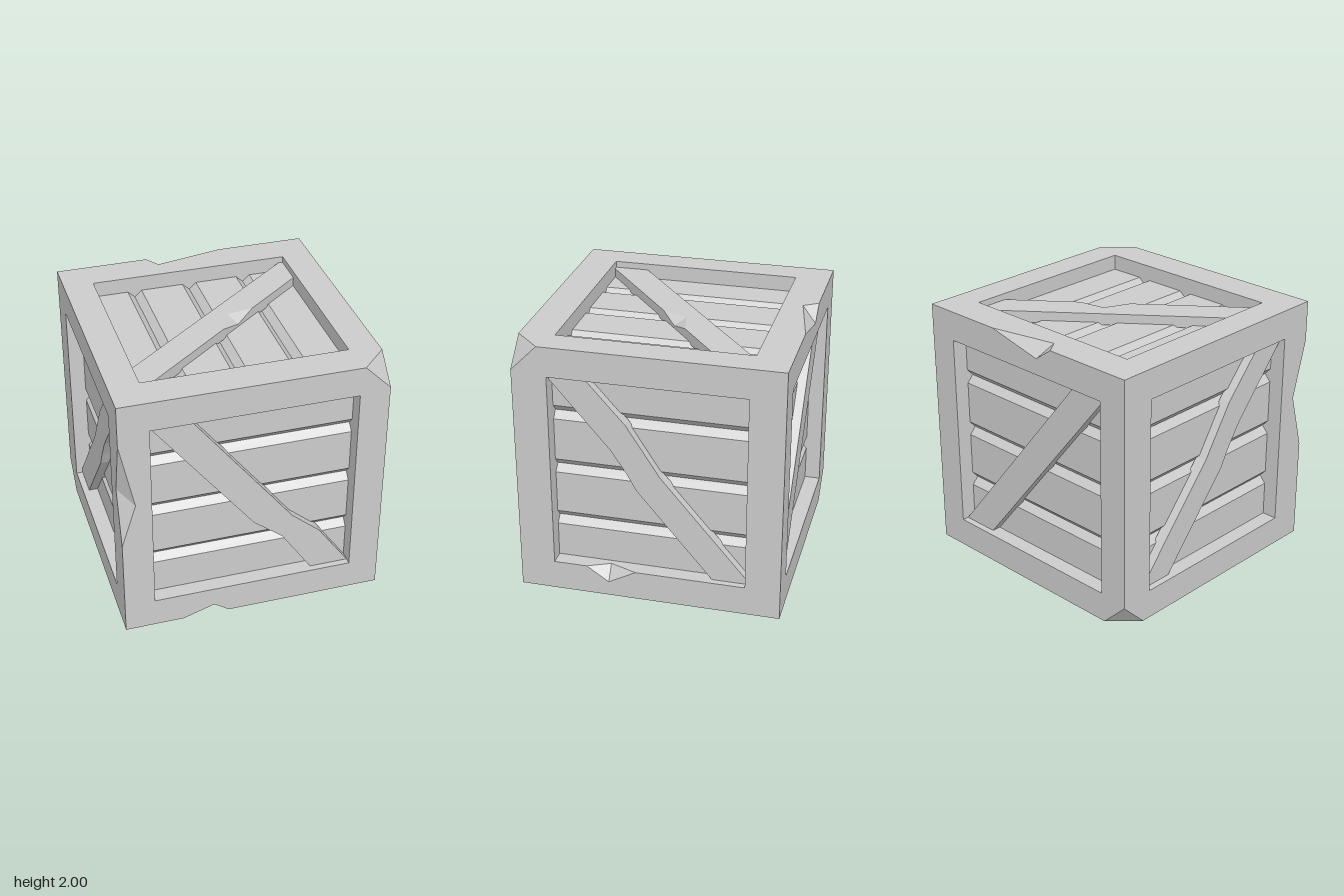
import * as THREE from 'three';

const material = new THREE.MeshStandardMaterial({ color: 0xcccccc, flatShading: true, side: THREE.DoubleSide });

// Mesh from a list of triangles, each three [x, y, z] corners
function triMesh(name, tris) {
  const geometry = new THREE.BufferGeometry();
  geometry.setAttribute('position', new THREE.Float32BufferAttribute(tris.flat(2), 3));
  geometry.computeVertexNormals();
  const mesh = new THREE.Mesh(geometry, material);
  mesh.name = name;
  return mesh;
}

const toV2 = (pts) => pts.map((p) => new THREE.Vector2(p[0], p[1]));
const ccw = (pts) => (THREE.ShapeUtils.area(toV2(pts)) < 0 ? [...pts].reverse() : pts);
const mirror = (pts) => pts.map(([u, ...rest]) => [-u, ...rest]);
const rect = (hu, hv) => [[-hu, -hv], [hu, -hv], [hu, hv], [-hu, hv]];

// Flat cap at height n
function cap(outline, holes, n) {
  const all = [outline, ...holes].flat();
  return THREE.ShapeUtils.triangulateShape(toV2(outline), holes.map(toV2))
    .map((t) => t.map((i) => [all[i][0], all[i][1], n]));
}

// Walls from height n0 down to n1 along a loop; a point with a third entry
// is the tip of a chip whose lower corner is that entry
function walls(loop, n0, n1) {
  const tris = [];
  const top = (p) => [p[0], p[1], n0];
  const low = (p) => p[2] || [p[0], p[1], n1];
  loop.forEach((p, i) => {
    const q = loop[(i + 1) % loop.length];
    const [a, b, c, d] = [top(p), low(p), low(q), top(q)];
    if (p[2]) {
      const before = low(loop[(i + loop.length - 1) % loop.length]);
      tris.push([a, b, d], [b, c, d], [before, c, b]);
    } else tris.push([a, b, c], [a, c, d]);
  });
  return tris;
}

// Boards with V grooves, running along v on the top and bottom
function boards(hu, hv, alongV) {
  const half = alongV ? hu : hv, len = alongV ? hv : hu;
  const profile = [[-half, 0.88]];
  for (const c of [-0.445, -0.004, 0.437]) {
    profile.push([c - 0.055, 0.88], [c, 0.83], [c + 0.055, 0.88]);
  }
  profile.push([half, 0.88]);
  const at = (l, [s, n]) => (alongV ? [s, -l, n] : [l, s, n]);
  const tris = [];
  for (let i = 0; i + 1 < profile.length; i++) {
    const a = at(-len, profile[i]), b = at(len, profile[i]);
    const c = at(len, profile[i + 1]), d = at(-len, profile[i + 1]);
    tris.push([a, b, c], [a, c, d]);
  }
  return triMesh('boards', tris);
}

// Brace outlines, in face coordinates (u, v)
const frontBrace = [[-0.77, 0.77], [-0.47, 0.77], [0.31, -0.24], [0.53, -0.43], [0.77, -0.77],
  [0.47, -0.77], [0.235, -0.42], [0.01, -0.24]];
const backBrace = [[0.77, 0.77], [0.47, 0.77], [-0.77, -0.77], [-0.47, -0.77]];
const sideBrace = [[-0.735, 0.77], [-0.475, 0.77], [-0.17, 0.43], [0.08, 0.04], [0.735, -0.73],
  [0.735, -0.77], [0.475, -0.77], [-0.1, -0.09], [-0.17, 0.04], [-0.29, 0.22], [-0.735, 0.735]];
const topBrace = [[-0.77, -0.47], [-0.77, -0.735], [-0.735, -0.735], [0.02, -0.13],
  [0.11, 0.07, [0.17, -0.01, 0.9]], [0.32, 0.11], [0.77, 0.47], [0.77, 0.735], [0.735, 0.735]];
const bottomBrace = mirror(topBrace.filter((p, i) => i < 3 || i > 5));

// Opening of the right side, with a chip in its lower edge
const chippedOpening = [[-0.735, -0.77], [-0.48, -0.77], [-0.31, -0.885, [-0.31, -0.77, 0.92]],
  [-0.1, -0.77], [0.735, -0.77], [0.735, 0.77], [-0.735, 0.77]];

// Chips on the outer edges: two edge points and the tips on both faces
const edgeChips = [
  [[-0.55, -1, 1], [-0.195, -1, 1], [-0.31, -0.92, 1], [-0.31, -1, 0.88]],
  [[-1, -0.2, 1], [-1, 0.68, 1], [-0.89, 0.15, 1], [-1, 0.235, 0.88]],
  [[-0.285, 1, -1], [0.32, 1, -1], [-0.21, 1, -0.89], [-0.14, 0.895, -1]],
];
// Two opposite corners are cut off
const cornerCuts = [1, -1].map((s) => [[0.8 * s, s, s], [s, 0.8 * s, s], [s, s, 0.8 * s]]);

// All points on the outer edges: uncut cube corners, cuts and chips
const edgePoints = [...edgeChips, ...cornerCuts].flat();
for (const x of [-1, 1]) for (const y of [-1, 1]) for (const z of [-1, 1]) {
  if (Math.abs(x + y + z) < 3) edgePoints.push([x, y, z]);
}

// Outline of one face: the edge points lying on it, in order around its centre
function faceOutline(u, v, n) {
  return edgePoints.map((p) => new THREE.Vector3(...p))
    .filter((p) => p.dot(n) > 0.999)
    .map((p) => [p.dot(u), p.dot(v)])
    .sort((a, b) => Math.atan2(a[1], a[0]) - Math.atan2(b[1], b[0]));
}

// One side of the crate, with outward axis n and upward axis v
function makeSide(name, n, v, opening, brace) {
  const u = v.clone().cross(n);
  const hu = opening[0][0], hv = opening[0][1];
  const hole = [...ccw(opening)].reverse();
  const braceLoop = ccw(brace);
  const side = new THREE.Group();
  side.name = `${name}Side`;
  side.add(
    triMesh('frame', [...cap(faceOutline(u, v, n), [hole], 1), ...walls(hole, 1, 0.82)]),
    boards(-hu, -hv, n.y !== 0),
    triMesh('brace', [...cap(braceLoop, [], 0.95), ...walls(braceLoop, 0.95, 0.86)]),
  );
  side.quaternion.setFromRotationMatrix(new THREE.Matrix4().makeBasis(u, v, n));
  return side;
}

// Turn a triangle so that it faces away from the centre
function outward(tri) {
  const [a, b, c] = tri.map((p) => new THREE.Vector3(...p));
  const normal = b.clone().sub(a).cross(c.clone().sub(a));
  return normal.dot(a.add(b).add(c)) < 0 ? [tri[0], tri[2], tri[1]] : tri;
}

export function createModel() {
  const X = new THREE.Vector3(1, 0, 0), Y = new THREE.Vector3(0, 1, 0), Z = new THREE.Vector3(0, 0, 1);
  const back = Z.clone().negate(), left = X.clone().negate(), down = Y.clone().negate();
  const chips = edgeChips.flatMap(([a, b, p, q]) => [[a, p, q], [b, p, q]]);

  const crate = new THREE.Group();
  crate.name = 'crate';
  crate.add(
    makeSide('front', Z, Y, rect(0.77, 0.77), frontBrace),
    makeSide('back', back, Y, rect(0.77, 0.77), backBrace),
    makeSide('right', X, Y, chippedOpening, sideBrace),
    makeSide('left', left, Y, rect(0.735, 0.77), mirror(sideBrace)),
    makeSide('top', Y, back, rect(0.77, 0.735), topBrace),
    makeSide('bottom', down, Z, rect(0.77, 0.735), bottomBrace),
    triMesh('chippedEdges', [...chips, ...cornerCuts].map(outward)),
  );
  for (const part of crate.children) part.position.y = 1;
  return crate;
}
